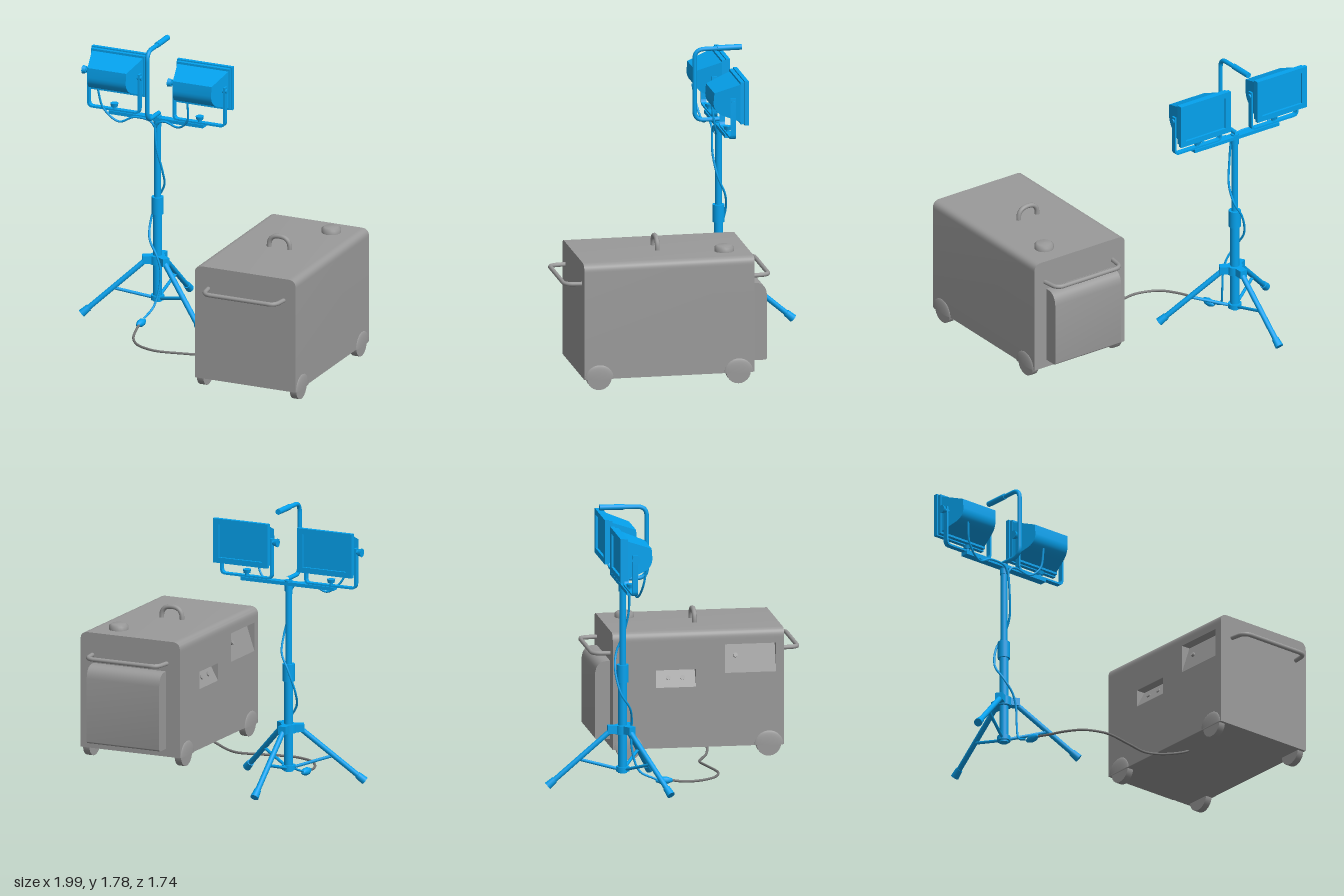
import * as THREE from 'three';
import { toCreasedNormals } from 'three/addons/utils/BufferGeometryUtils.js';

const GREY = new THREE.MeshStandardMaterial({ color: 0x9a9a9a });
const DARK = new THREE.MeshStandardMaterial({ color: 0x777777 });
const BLUE = new THREE.MeshStandardMaterial({ color: 0x04a2ee });
const V = (x, y, z) => new THREE.Vector3(x, y, z);

function add(parent, name, geo, mat, x = 0, y = 0, z = 0) {
  const m = new THREE.Mesh(geo, mat);
  m.name = name;
  m.position.set(x, y, z);
  parent.add(m);
  return m;
}

// Cylinder or cone between two points
function rod(parent, name, a, b, r0, mat, r1 = r0, sides = 16) {
  const d = b.clone().sub(a);
  const m = add(parent, name, new THREE.CylinderGeometry(r1, r0, d.length(), sides), mat);
  m.position.copy(a).add(b).multiplyScalar(0.5);
  m.quaternion.setFromUnitVectors(V(0, 1, 0), d.normalize());
  return m;
}

// Smooth cable through points
function cable(parent, name, pts, r, mat) {
  const curve = new THREE.CatmullRomCurve3(pts.map(p => V(...p)), false, 'centripetal');
  return add(parent, name, new THREE.TubeGeometry(curve, pts.length * 8, r, 8), mat);
}

// Bent pipe: straight runs joined by rounded corners
function pipe(parent, name, pts, bend, r, mat) {
  const p = pts.map(q => V(...q)), path = new THREE.CurvePath();
  let from = p[0];
  for (let i = 1; i < p.length - 1; i++) {
    const a = p[i].clone().add(p[i - 1].clone().sub(p[i]).setLength(bend));
    const b = p[i].clone().add(p[i + 1].clone().sub(p[i]).setLength(bend));
    path.add(new THREE.LineCurve3(from, a));
    path.add(new THREE.QuadraticBezierCurve3(a, p[i], b));
    from = b;
  }
  path.add(new THREE.LineCurve3(from, p[p.length - 1]));
  return add(parent, name, new THREE.TubeGeometry(path, 72, r, 10), mat);
}

function rect(P, x0, y0, x1, y1) {
  const s = new P();
  s.moveTo(x0, y0); s.lineTo(x1, y0); s.lineTo(x1, y1); s.lineTo(x0, y1); s.closePath();
  return s;
}

const extrude = (shape, depth) =>
  new THREE.ExtrudeGeometry(shape, { depth, bevelEnabled: false, curveSegments: 8 });

// Extrudes a (z, y) profile along x, from x = 0 to x = -depth
const extrudeX = (shape, depth) => extrude(shape, depth).rotateY(-Math.PI / 2);

function buildGenerator() {
  const g = new THREE.Group();
  g.name = 'generator';

  // Housing profile, stepped on one side to take the recessed side panel
  const L = 0.295, R = 0.98, T = 0.8, B = 0.07, r = 0.05, step = 0.06, seam = 0.74;
  const s = new THREE.Shape();
  s.moveTo(L + step, B); s.lineTo(R, B); s.lineTo(R, T - r);
  s.quadraticCurveTo(R, T, R - r, T); s.lineTo(L + r, T);
  s.quadraticCurveTo(L, T, L, T - r); s.lineTo(L, seam); s.lineTo(L + step, seam);
  s.closePath();
  add(g, 'housing', toCreasedNormals(extrude(s, 1.07), 0.6), GREY, 0, 0, -0.32);

  // Side panel with two recesses, each with a sloping console inside
  const panel = rect(THREE.Shape, -0.32, B, 0.75, seam);
  for (const [z0, y0, z1, y1] of [[-0.05, 0.45, 0.2, 0.56], [0.38, 0.53, 0.7, 0.71]]) {
    panel.holes.push(rect(THREE.Path, z0, y0, z1, y1));
    const w = new THREE.Shape();
    w.moveTo(L, y0); w.lineTo(L + step, y0); w.lineTo(L + step, y1); w.closePath();
    add(g, 'console', extrude(w, z1 - z0), GREY, 0, 0, z0);
  }
  add(g, 'sidePanel', extrudeX(panel, step), GREY, L + step);
  for (const [y, z] of [[0.5, 0.03], [0.5, 0.12], [0.63, 0.45]])
    rod(g, 'socket', V(L + step, y - 0.01, z), V(L + 0.022, y + 0.008, z), 0.014, GREY);

  // Rounded cover on the rear
  const c = new THREE.Shape();
  c.moveTo(-0.32, 0.12); c.lineTo(-0.4, 0.12); c.quadraticCurveTo(-0.415, 0.12, -0.415, 0.135);
  c.lineTo(-0.415, 0.53); c.quadraticCurveTo(-0.41, 0.61, -0.34, 0.61); c.lineTo(-0.32, 0.61);
  c.closePath();
  add(g, 'rearCover', toCreasedNormals(extrudeX(c, 0.5), 0.6), GREY, 0.89);

  // Pull bars at both ends
  for (const [z0, z1] of [[0.74, 0.855], [-0.31, -0.43]])
    pipe(g, 'pullBar', [[0.385, 0.66, z0], [0.4, 0.66, z1], [0.885, 0.66, z1], [0.9, 0.66, z0]], 0.05, 0.014, GREY);

  // Lifting handle and domed filler cap
  pipe(g, 'topHandle', [[0.56, 0.79, 0.235], [0.56, 0.875, 0.235], [0.7, 0.875, 0.235], [0.7, 0.79, 0.235]], 0.068, 0.015, GREY);
  const cap = [[0.06, -0.02], [0.06, 0.008], [0.045, 0.02], [0, 0.022]];
  add(g, 'fillerCap', new THREE.LatheGeometry(cap.map(q => new THREE.Vector2(...q)), 24), GREY, 0.795, 0.817, -0.165);

  // Wheels, tucked under shallow arches swelling from the housing sides
  for (const z of [0.655, -0.22])
    for (const side of [-1, 1]) {
      const x = 0.6375 + side * 0.316;
      rod(g, 'wheel', V(x - 0.022, 0.077, z), V(x + 0.022, 0.077, z), 0.077, GREY, 0.077, 24);
      const arch = new THREE.SphereGeometry(1, 24, 8, 0, Math.PI * 2, 0, Math.PI / 2).scale(0.014, 0.09, 0.092);
      add(g, 'wheelArch', arch, GREY, 0.6375 + side * 0.341, B, z);
    }
  return g;
}

function buildLamp(cx) {
  const g = new THREE.Group();
  g.name = 'floodlight';
  g.position.set(cx, 1.52, 0);

  // Stepped front frame and glass, facing backwards
  for (const [w, h, z] of [[0.188, 0.14, -0.485], [0.18, 0.132, -0.46]]) {
    const f = rect(THREE.Shape, -w, -h, w, h);
    f.holes.push(rect(THREE.Path, -0.15, -0.105, 0.15, 0.105));
    add(g, 'lampFrame', extrude(f, 0.025), BLUE, 0, 0, z);
  }
  add(g, 'lampGlass', new THREE.BoxGeometry(0.3, 0.21, 0.02), BLUE, 0, 0, -0.46);

  // Tapered housing, curved underneath
  const s = new THREE.Shape();
  s.moveTo(-0.44, -0.12); s.lineTo(-0.34, -0.085);
  s.quadraticCurveTo(-0.275, -0.065, -0.275, 0); s.lineTo(-0.28, 0.06); s.lineTo(-0.44, 0.12);
  s.closePath();
  const geo = extrudeX(s, 2).translate(1, 0, 0), p = geo.attributes.position;
  for (let i = 0; i < p.count; i++)
    p.setX(i, p.getX(i) * THREE.MathUtils.mapLinear(p.getZ(i), -0.44, -0.275, 0.175, 0.13));
  geo.computeVertexNormals();
  add(g, 'lampHousing', toCreasedNormals(geo, 0.7), BLUE);

  // Flat strap yoke
  const o = 0.178, i = 0.166, b = -0.23, t = 0.03, r = 0.035;
  const u = new THREE.Shape();
  u.moveTo(-o, t); u.lineTo(-o, b + r); u.quadraticCurveTo(-o, b, -o + r, b);
  u.lineTo(o - r, b); u.quadraticCurveTo(o, b, o, b + r); u.lineTo(o, t); u.lineTo(i, t);
  u.lineTo(i, b + r); u.quadraticCurveTo(i, b + 0.012, o - r, b + 0.012);
  u.lineTo(-o + r, b + 0.012); u.quadraticCurveTo(-i, b + 0.012, -i, b + r); u.lineTo(-i, t);
  u.closePath();
  const z = -0.39;
  add(g, 'yoke', toCreasedNormals(extrude(u, 0.034), 0.6), BLUE, 0, 0, z - 0.017);

  // Pivots, tilt knob and clamp screw
  for (const sx of [-1, 1])
    rod(g, 'pivot', V(sx * 0.13, 0.005, z), V(sx * 0.188, 0.005, z), 0.014, BLUE);
  rod(g, 'tiltKnob', V(-0.19, 0.005, z), V(-0.213, 0.005, z), 0.022, BLUE, 0.028, 8);
  rod(g, 'clampStem', V(0, -0.25, z), V(0, -0.2, z), 0.012, BLUE);
  rod(g, 'clampKnob', V(0, -0.205, z), V(0, -0.183, z), 0.022, BLUE, 0.027, 8);
  return g;
}

function buildStand() {
  const g = new THREE.Group();
  g.name = 'lightStand';
  const X = -0.49, Z = -0.39;
  const at = (y, d = 0, a = 0) => V(X + Math.sin(a) * d, y, Z + Math.cos(a) * d);

  // Telescopic mast
  for (const [name, y0, y1, r] of [
    ['lowerMast', 0.09, 0.66, 0.028], ['mastCollar', 0.66, 0.77, 0.038], ['upperMast', 0.77, 1.27, 0.021],
    ['mastHead', 1.23, 1.3, 0.025], ['tripodHub', 0.335, 0.39, 0.048], ['braceHub', 0.1, 0.13, 0.042]])
    rod(g, name, at(y0), at(y1), r, BLUE, r, 20);

  // Three legs with hinges, braces and feet
  for (let i = 0; i < 3; i++) {
    const a = Math.PI / 3 + i * Math.PI * 2 / 3;
    const top = at(0.365, 0.065, a), foot = at(0.025, 0.465, a);
    const ankle = top.clone().lerp(foot, 0.9), knee = top.clone().lerp(foot, 0.53);
    rod(g, 'leg', top, foot, 0.017, BLUE, 0.017, 12);
    rod(g, 'foot', ankle, foot.clone().lerp(top, -0.01), 0.022, BLUE, 0.026, 12);
    rod(g, 'brace', at(0.115, 0.03, a), knee, 0.01, BLUE, 0.01, 8);
    const hinge = add(g, 'legHinge', new THREE.BoxGeometry(0.05, 0.05, 0.07), BLUE);
    hinge.position.copy(at(0.365, 0.06, a));
    hinge.rotation.y = a;
  }

  // Crossbar and lamps
  add(g, 'crossbar', new THREE.BoxGeometry(0.64, 0.022, 0.05), BLUE, X, 1.28, Z);
  for (const cx of [-0.783, -0.203]) g.add(buildLamp(cx));

  // Hooked carrying handle with grip
  pipe(g, 'hookHandle', [[X, 1.31, -0.41], [X, 1.31, -0.24], [X, 1.758, -0.24], [X, 1.76, -0.5]], 0.06, 0.014, BLUE);
  rod(g, 'hookGrip', V(X, 1.76, -0.38), V(X, 1.761, -0.535), 0.018, BLUE);

  // Lamp leads
  cable(g, 'lampLead', [[-0.855, 1.45, -0.3], [-0.825, 1.32, -0.32], [-0.73, 1.24, -0.34],
    [-0.63, 1.28, -0.35], [-0.52, 1.27, -0.35], [X, 1.23, -0.355]], 0.007, BLUE);
  cable(g, 'lampLead', [[-0.245, 1.45, -0.3], [-0.255, 1.32, -0.32], [-0.325, 1.26, -0.34],
    [-0.42, 1.28, -0.35], [-0.46, 1.27, -0.35], [X, 1.23, -0.355]], 0.007, BLUE);

  // Lead wound loosely down the mast to the plug
  cable(g, 'mastLead', [[X, 1.25, -0.35], [-0.478, 1.1, -0.35], [-0.453, 0.95, -0.38], [-0.46, 0.84, -0.425],
    [-0.51, 0.74, -0.44], [-0.545, 0.6, -0.41], [-0.525, 0.5, -0.35], [-0.47, 0.41, -0.33],
    [-0.443, 0.32, -0.33], [-0.445, 0.2, -0.32], [-0.465, 0.09, -0.28], [-0.485, 0.04, -0.18]], 0.007, BLUE);

  // Plug on the ground
  const prof = [[0, -0.055], [0.01, -0.05], [0.024, -0.015], [0.024, 0.015], [0.012, 0.05], [0, 0.055]];
  const plug = add(g, 'plug', new THREE.LatheGeometry(prof.map(q => new THREE.Vector2(...q)), 14), BLUE, -0.48, 0.03, -0.13);
  plug.rotation.x = Math.PI / 2;
  return g;
}

export function createModel() {
  const model = new THREE.Group();
  model.name = 'portableLightTower';
  model.add(buildGenerator(), buildStand());

  // Supply cable along the ground, rising into the underside of the generator
  cable(model, 'supplyCable', [[-0.475, 0.03, -0.09], [-0.46, 0.015, 0], [-0.42, 0.01, 0.11], [-0.35, 0.01, 0.2],
    [-0.27, 0.01, 0.24], [-0.19, 0.01, 0.255], [0, 0.01, 0.222], [0.15, 0.01, 0.197], [0.24, 0.012, 0.23],
    [0.32, 0.025, 0.27], [0.4, 0.055, 0.285], [0.44, 0.08, 0.285]], 0.008, DARK);
  return model;
}
